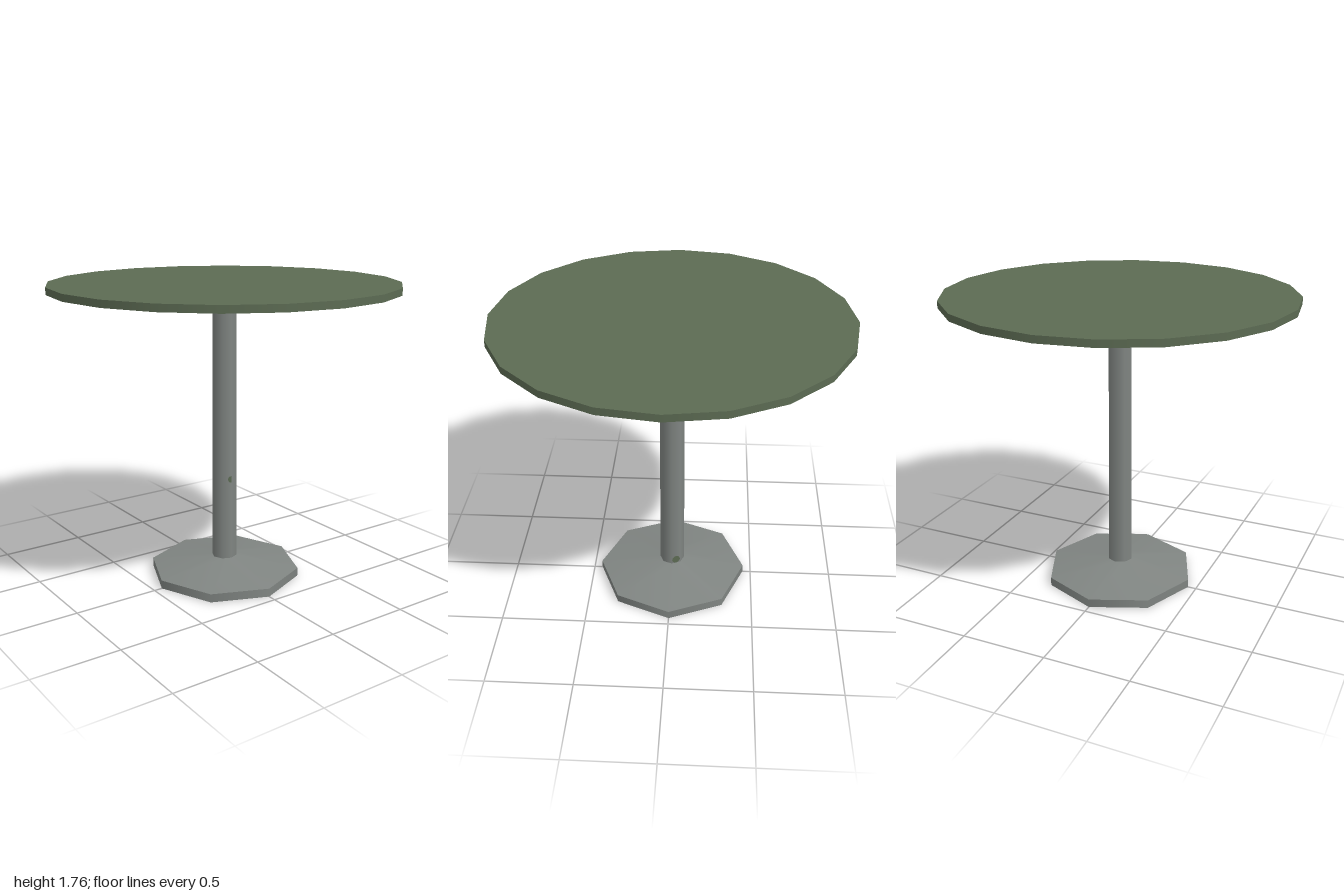
import * as THREE from 'three';

export function createModel() {
  const model = new THREE.Group();
  const green = new THREE.MeshStandardMaterial({ color: 0x5c6b53 });
  green.name = 'muted green';
  const grey = new THREE.MeshStandardMaterial({ color: 0x808582 });
  grey.name = 'metal grey';

  const add = (name, geometry, material, y) => {
    const mesh = new THREE.Mesh(geometry, material);
    mesh.name = name;
    mesh.position.y = y;
    model.add(mesh);
    return mesh;
  };
  // Stacked round part between two heights
  const round = (name, rTop, rBottom, y0, y1, sides, material, open = false) =>
    add(name, new THREE.CylinderGeometry(rTop, rBottom, y1 - y0, sides, 1, open), material, (y0 + y1) / 2);

  // Round top
  round('tableTop', 1, 1, 1.725, 1.765, 20, green);

  // Slightly tapered eight-sided column
  round('column', 0.069, 0.075, 0.105, 1.726, 8, grey);

  // Eight-sided foot: upright rim, sloping cover and underside
  round('footRim', 0.45, 0.45, 0, 0.05, 8, grey, true);
  round('footCover', 0.075, 0.45, 0.05, 0.11, 8, grey, true);
  const underside = add('footUnderside', new THREE.CircleGeometry(0.45, 8), grey, 0);
  underside.rotation.x = Math.PI / 2;

  // Small paint marks lying on column faces
  const mark = (name, azimuth, shift, y, radius, apothem, start, sweep) => {
    const mesh = add(name, new THREE.CircleGeometry(radius, 12, start, sweep), green, y);
    mesh.rotation.y = azimuth;
    mesh.position.x = Math.sin(azimuth) * apothem + Math.cos(azimuth) * shift;
    mesh.position.z = Math.cos(azimuth) * apothem - Math.sin(azimuth) * shift;
  };
  const face = Math.PI / 8;
  mark('columnMark', 3 * face, 0.027, 0.61, 0.02, 0.0685, Math.PI / 2, Math.PI);
  mark('lowerColumnMark', 9 * face, 0, 0.138, 0.026, 0.0705, 0, Math.PI * 2);

  return model;
}
